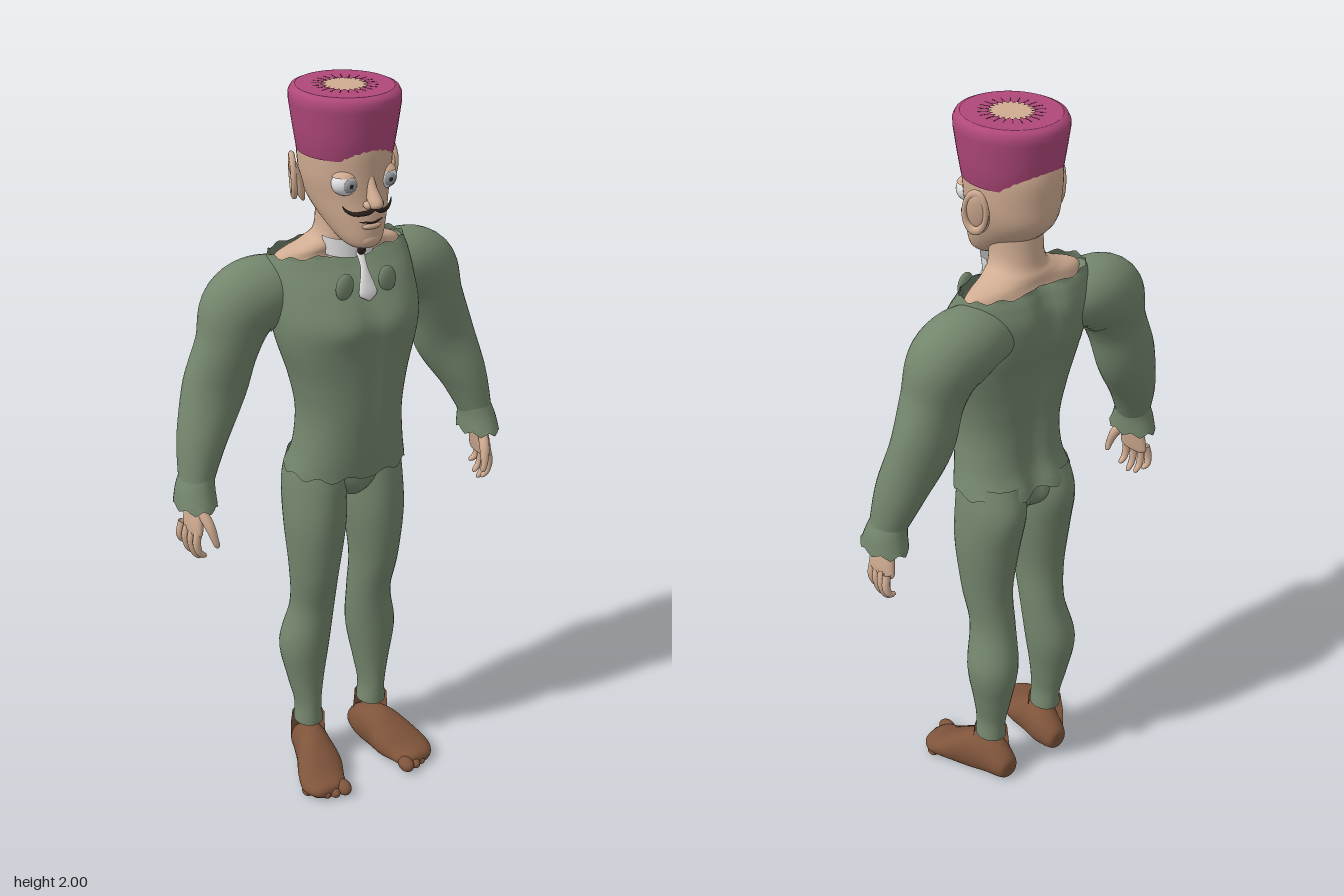
import * as THREE from 'three';

const mat = (name, color, side = THREE.FrontSide) => {
  const m = new THREE.MeshStandardMaterial({ color, side });
  m.name = name;
  return m;
};
const V = (x, y, z) => new THREE.Vector3(x, y, z);
const UP = V(0, 1, 0), FWD = V(0, 0, 1);

// Smooth loft through sections [x, y, z, radiusA, radiusB]; radiusB lies along ref.
// With a fixed axis all rings are parallel, otherwise they follow the path.
function loft(sections, { ref = FWD, axis = null, sides = 32, steps = 6, power = 2, bend = null } = {}) {
  const path = new THREE.CatmullRomCurve3(sections.map(s => V(s[0], s[1], s[2])), false, 'catmullrom');
  const radii = new THREE.CatmullRomCurve3(sections.map(s => V(s[3], s[4], 0)), false, 'catmullrom');
  const rings = (sections.length - 1) * steps, pos = [], index = [];
  const round = c => Math.sign(c) * Math.abs(c) ** (2 / power);
  for (let i = 0; i <= rings; i++) {
    const u = i / rings, c = path.getPoint(u), r = radii.getPoint(u);
    const t = axis || path.getTangent(u);
    const b = ref.clone().addScaledVector(t, -ref.dot(t)).normalize();
    const a = b.clone().cross(t);
    for (let j = 0; j < sides; j++) {
      const q = j / sides * Math.PI * 2;
      const v = c.clone().addScaledVector(a, r.x * round(Math.cos(q))).addScaledVector(b, r.y * round(Math.sin(q)));
      if (bend) bend(v, u, q);
      pos.push(v.x, v.y, v.z);
      if (i < rings) {
        const k = i * sides + j, n = i * sides + (j + 1) % sides;
        index.push(k, n, k + sides, n, n + sides, k + sides);
      }
    }
  }
  const g = new THREE.BufferGeometry();
  g.setAttribute('position', new THREE.Float32BufferAttribute(pos, 3));
  g.setIndex(index);
  g.computeVertexNormals();
  return g;
}

export function createModel() {
  const model = new THREE.Group();
  const cloth = mat('green cloth', 0x74866d, THREE.DoubleSide);
  const skin = mat('skin', 0xd0ac92, THREE.DoubleSide);
  const felt = mat('pink felt', 0xb0487a, THREE.DoubleSide);
  const leather = mat('brown foot', 0x7f543b);
  const white = mat('white', 0xe2e2e2, THREE.DoubleSide);
  const grey = mat('grey iris', 0x989ea3);
  const dark = mat('dark hair', 0x2c211c);

  const add = (name, geometry, material, parent = model) => {
    const m = new THREE.Mesh(geometry, material);
    m.name = name;
    parent.add(m);
    return m;
  };
  const ball = (name, p, s, material, parent = model) => {
    const m = add(name, new THREE.SphereGeometry(1, 24, 16), material, parent);
    m.position.set(...p);
    m.scale.set(...s);
    return m;
  };
  const bump = (d, w) => Math.exp(-((d / w) ** 2));

  // Tunic with spine groove, chest muscles and ragged hem
  add('tunic', loft([
    [0, 0.975, -0.022, 0.168, 0.125], [0, 1.05, -0.005, 0.15, 0.118], [0, 1.15, 0, 0.142, 0.122],
    [0, 1.25, -0.005, 0.16, 0.13], [0, 1.35, -0.012, 0.19, 0.14], [0, 1.42, -0.022, 0.2, 0.148],
    [0, 1.5, -0.045, 0.2, 0.132], [0, 1.55, -0.058, 0.197, 0.105], [0, 1.58, -0.062, 0.19, 0.085],
  ], {
    axis: UP, power: 2.3, sides: 64, bend: (v, u, q) => {
      if (v.z < -0.05) v.z += 0.025 * bump(v.x, 0.035);
      else if (v.z > 0.02) v.z += 0.01 * bump(Math.abs(v.x) - 0.08, 0.06) * bump(v.y - 1.41, 0.06) - 0.005 * bump(v.x, 0.02);
      if (u < 0.02) v.y += 0.008 * Math.sin(11 * q);
      if (u > 0.98) v.y += 0.005 * Math.sin(13 * q);
    },
  }), cloth);

  // Bare shoulders and neck
  add('neck', loft([
    [0, 1.54, -0.06, 0.19, 0.075], [0, 1.575, -0.06, 0.175, 0.062], [0, 1.6, -0.05, 0.11, 0.068],
    [0, 1.635, -0.037, 0.07, 0.07], [0, 1.74, -0.03, 0.068, 0.072],
  ], { axis: UP }), skin);

  // Trouser seat
  add('pelvis', loft([
    [0, 0.87, -0.03, 0.002, 0.01], [0, 0.895, -0.03, 0.04, 0.075], [0, 0.94, -0.03, 0.095, 0.105],
    [0, 1.01, -0.025, 0.145, 0.1],
  ], { axis: UP, bend: v => { if (v.z < -0.05) v.z += 0.03 * bump(v.x, 0.025); } }), cloth);

  // Head
  const head = new THREE.Group();
  head.name = 'head';
  model.add(head);
  add('skull', loft([
    [0, 1.612, 0.075, 0.001, 0.001], [0, 1.618, 0.07, 0.035, 0.038], [0, 1.64, 0.052, 0.058, 0.066],
    [0, 1.69, 0.012, 0.083, 0.106], [0, 1.74, -0.015, 0.1, 0.128], [0, 1.8, -0.02, 0.112, 0.133],
    [0, 1.88, -0.02, 0.112, 0.133], [0, 1.95, -0.015, 0.085, 0.1], [0, 1.97, -0.015, 0.001, 0.001],
  ], { axis: UP }), skin, head);
  add('nose', loft([
    [0, 1.81, 0.1, 0.008, 0.008], [0, 1.775, 0.113, 0.012, 0.015], [0, 1.745, 0.128, 0.018, 0.025],
    [0, 1.73, 0.128, 0.016, 0.02], [0, 1.722, 0.122, 0.001, 0.001],
  ], { axis: UP, sides: 20 }), skin, head);
  ball('chin', [0, 1.64, 0.1], [0.03, 0.022, 0.02], skin, head);
  ball('lowerLip', [0, 1.677, 0.112], [0.027, 0.009, 0.012], skin, head);
  add('mouth', new THREE.TubeGeometry(new THREE.CatmullRomCurve3(
    [V(-0.032, 1.69, 0.108), V(0, 1.687, 0.121), V(0.032, 1.69, 0.108)]), 16, 0.0025, 6), dark, head);

  // Flared hat with a star-shaped opening in the lid
  const hat = new THREE.Group();
  hat.name = 'hat';
  hat.position.z = -0.017;
  hat.scale.z = 1.07;
  model.add(hat);
  add('hatWall', new THREE.LatheGeometry([
    [0.113, 1.848], [0.119, 1.842], [0.128, 1.9], [0.137, 1.965], [0.137, 1.983], [0.131, 1.995], [0.12, 2],
  ].map(p => new THREE.Vector2(...p)), 48), felt, hat);
  const lidShape = new THREE.Shape().absarc(0, 0, 0.121, 0, Math.PI * 2);
  const star = [];
  for (let i = 0; i < 44; i++) {
    const r = i % 2 ? 0.043 : 0.062, q = -i / 44 * Math.PI * 2;
    star.push(new THREE.Vector2(r * Math.cos(q), r * Math.sin(q)));
  }
  lidShape.holes.push(new THREE.Path(star));
  add('hatLid', new THREE.ShapeGeometry(lidShape, 24).rotateX(-Math.PI / 2).translate(0, 1.9995, 0), felt, hat);
  add('crownOfHead', new THREE.CircleGeometry(0.1, 32).rotateX(-Math.PI / 2).translate(0, 1.985, 0), skin, hat);
  for (let i = 0; i < 22; i++) {
    const slit = add('lidSlit', new THREE.BoxGeometry(0.026, 0.001, 0.0018).translate(0.067, 1.9995, 0), dark, hat);
    slit.rotation.y = i / 22 * Math.PI * 2;
  }

  // Collar, jabot and button
  add('collar', new THREE.CylinderGeometry(0.072, 0.066, 0.05, 32, 1, true, -Math.PI / 2, Math.PI).translate(0, 1.603, -0.008), white);
  add('jabot', loft([
    [0, 1.595, 0.055, 0.012, 0.006], [0, 1.555, 0.078, 0.01, 0.006], [0, 1.51, 0.094, 0.023, 0.007],
    [0, 1.49, 0.1, 0.025, 0.006], [0, 1.475, 0.104, 0.002, 0.002],
  ], { sides: 20 }), white);
  ball('collarButton', [0, 1.598, 0.066], [0.012, 0.012, 0.006], dark);

  for (const s of [1, -1]) {
    const side = s > 0 ? 'left' : 'right';
    const group = name => {
      const g = new THREE.Group();
      g.name = side + name;
      model.add(g);
      return g;
    };
    const flip = list => list.map(([x, ...rest]) => [s * x, ...rest]);

    // Eye, ear and moustache half
    const face = group('Face');
    ball('eye', [s * 0.055, 1.785, 0.076], [0.034, 0.031, 0.034], white, face);
    ball('iris', [s * 0.056, 1.785, 0.104], [0.017, 0.017, 0.008], grey, face);
    ball('pupil', [s * 0.056, 1.785, 0.109], [0.006, 0.006, 0.005], dark, face);
    add('eyelid', new THREE.SphereGeometry(0.037, 24, 8, 0, Math.PI * 2, 0, Math.PI * 0.33), skin, face)
      .position.set(s * 0.055, 1.785, 0.075);
    ball('nostril', [s * 0.017, 1.735, 0.122], [0.01, 0.01, 0.014], skin, face);
    const ear = ball('ear', [s * 0.126, 1.778, -0.037], [0.013, 0.06, 0.034], skin, face);
    ear.rotation.set(-0.15, s * 0.4, -s * 0.2);
    const rim = add('earRim', new THREE.TorusGeometry(0.034, 0.008, 10, 28), skin, face);
    rim.position.set(s * 0.135, 1.785, -0.04);
    rim.scale.set(0.85, 1.45, 1);
    rim.rotation.set(-0.1, Math.PI / 2 + s * 0.4, 0);
    add('moustache', loft(flip([
      [0, 1.724, 0.128, 0.004, 0.004], [0.02, 1.717, 0.126, 0.007, 0.005], [0.045, 1.712, 0.109, 0.005, 0.004],
      [0.062, 1.72, 0.097, 0.003, 0.003], [0.07, 1.732, 0.09, 0.001, 0.001],
    ]), { sides: 10 }), dark, face);
    ball('lapelOval', [s * 0.062, 1.518, 0.088], [0.025, 0.035, 0.011], cloth, face).rotation.z = s * 0.15;

    // Arm with flared ragged cuff
    const arm = group('Arm');
    add('sleeve', loft(flip([
      [0.09, 1.47, -0.08, 0.06, 0.07], [0.19, 1.478, -0.085, 0.093, 0.092], [0.268, 1.445, -0.085, 0.105, 0.09],
      [0.31, 1.355, -0.08, 0.086, 0.075], [0.35, 1.24, -0.083, 0.088, 0.068], [0.402, 1.12, -0.06, 0.066, 0.066],
      [0.432, 1.02, -0.04, 0.046, 0.052], [0.438, 0.99, -0.037, 0.042, 0.05],
    ])), cloth, arm);
    add('cuff', loft(flip([
      [0.428, 1.035, -0.042, 0.046, 0.052], [0.437, 1, -0.038, 0.05, 0.06], [0.441, 0.955, -0.033, 0.054, 0.074],
    ]), { axis: V(0, -1, 0), bend: (v, u, q) => { v.y += u > 0.95 ? 0.007 * Math.sin(8 * q) : 0; } }), cloth, arm);

    // Hand
    const hand = group('Hand');
    add('palm', loft(flip([
      [0.437, 1, -0.037, 0.026, 0.034], [0.443, 0.95, -0.034, 0.022, 0.036], [0.45, 0.9, -0.031, 0.019, 0.047],
      [0.452, 0.875, -0.031, 0.014, 0.044], [0.452, 0.868, -0.031, 0.001, 0.01],
    ])), skin, hand);
    [0, 1, 2, 3].forEach(i => {
      const z = 0.004 - i * 0.024, tip = [0.806, 0.792, 0.797, 0.82][i], x = 0.453 + i * 0.004;
      add('finger', loft(flip([
        [x, 0.89, z, 0.01, 0.011], [x + 0.006, 0.855, z * 1.05, 0.011, 0.011],
        [x, (0.87 + tip) / 2 - 0.012, z * 1.1, 0.009, 0.01], [x - 0.014, tip + 0.006, z * 1.1, 0.007, 0.007],
        [x - 0.016, tip, z * 1.1, 0.001, 0.001],
      ]), { sides: 12, steps: 4 }), skin, hand);
    });
    add('thumb', loft(flip([
      [0.442, 0.95, -0.01, 0.014, 0.014], [0.43, 0.91, 0.022, 0.014, 0.014], [0.422, 0.872, 0.036, 0.01, 0.01],
      [0.416, 0.85, 0.038, 0.007, 0.007], [0.415, 0.846, 0.038, 0.001, 0.001],
    ]), { sides: 12, steps: 4 }), skin, hand);

    // Leg
    add(side + 'Leg', loft(flip([
      [0.08, 1.01, -0.027, 0.075, 0.1], [0.087, 0.92, -0.035, 0.081, 0.113], [0.092, 0.8, -0.025, 0.081, 0.1],
      [0.095, 0.65, -0.026, 0.066, 0.079], [0.092, 0.53, -0.045, 0.061, 0.068], [0.108, 0.4, -0.064, 0.07, 0.075],
      [0.108, 0.28, -0.06, 0.05, 0.06], [0.106, 0.2, -0.052, 0.036, 0.05], [0.105, 0.14, -0.05, 0.041, 0.047],
    ]), { axis: UP }), cloth);

    // Foot with toes
    const foot = group('Foot');
    add('ankle', loft(flip([
      [0.105, 0.155, -0.05, 0.045, 0.051], [0.106, 0.1, -0.053, 0.047, 0.058], [0.103, 0.03, -0.055, 0.046, 0.063],
    ]), { axis: UP, bend: (v, u, q) => { v.y += u < 0.05 ? 0.004 * Math.sin(8 * q) : 0; } }), leather, foot);
    add('sole', loft(flip([
      [0.095, 0.035, -0.124, 0.001, 0.001], [0.096, 0.038, -0.116, 0.032, 0.034], [0.1, 0.05, -0.06, 0.05, 0.06],
      [0.115, 0.05, 0, 0.057, 0.07], [0.13, 0.038, 0.06, 0.07, 0.05], [0.145, 0.026, 0.11, 0.066, 0.031],
      [0.143, 0.022, 0.15, 0.045, 0.02], [0.142, 0.02, 0.16, 0.001, 0.001],
    ]), { ref: UP, axis: FWD, bend: v => { v.y = Math.max(v.y, 0); } }), leather, foot);
    [[0.105, 0.152, 0.021], [0.134, 0.152, 0.015], [0.157, 0.143, 0.014], [0.179, 0.128, 0.0135], [0.198, 0.106, 0.013]]
      .forEach(([x, z, r]) => ball('toe', [s * x, r, z], [r, r, r * 1.4], leather, foot));
  }
  return model;
}
